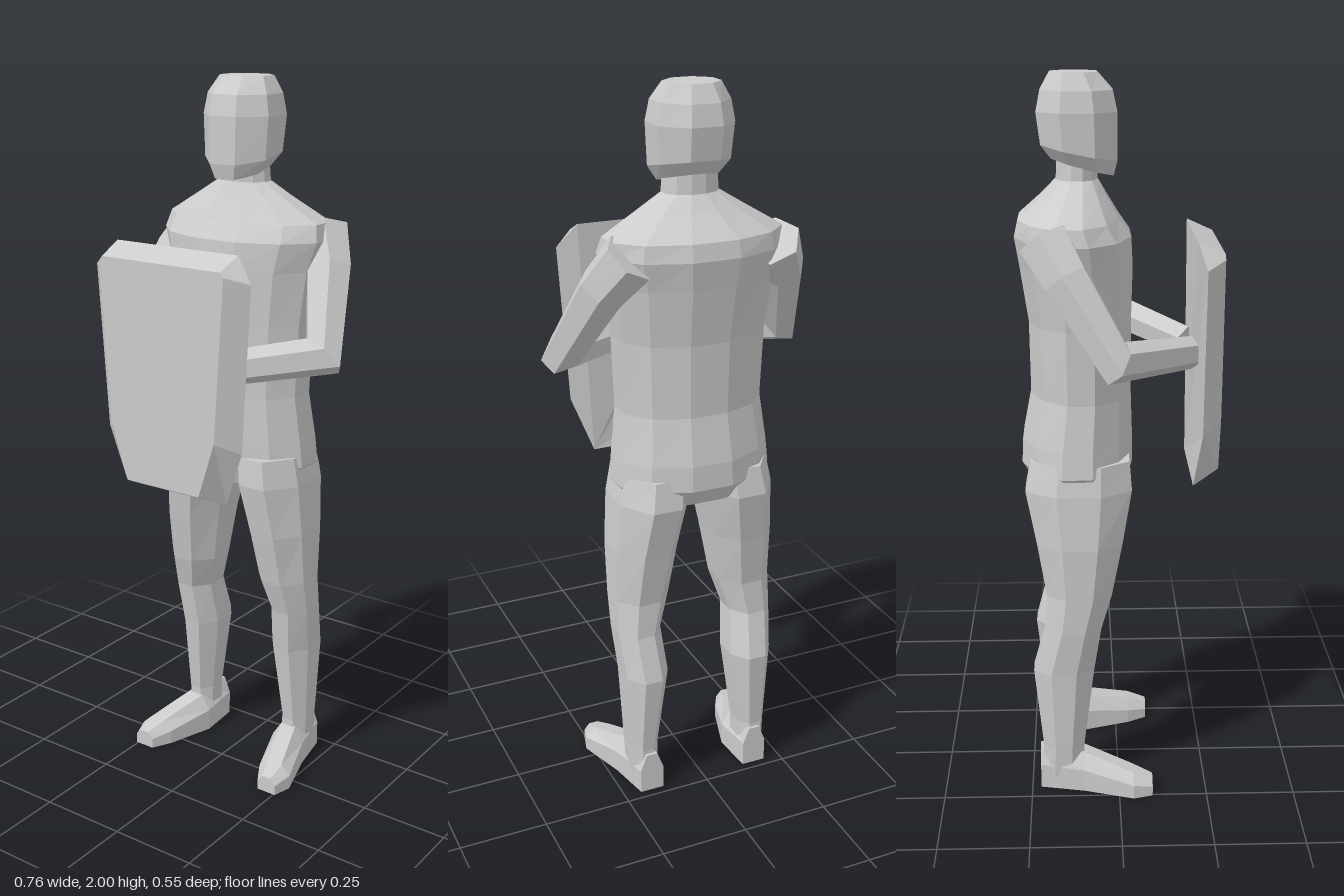
import * as THREE from 'three';

const material = new THREE.MeshStandardMaterial({ color: 0xcccccc, flatShading: true });
const V = (x, y, z) => new THREE.Vector3(x, y, z);

// Skin a list of equal-sized rings and close both ends
function loft(name, rings) {
  const pos = [];
  const tri = (...pts) => pts.forEach((p) => pos.push(p.x, p.y, p.z));
  const n = rings[0].length;
  for (let r = 0; r < rings.length - 1; r++) {
    const a = rings[r], b = rings[r + 1];
    for (let i = 0; i < n; i++) {
      const j = (i + 1) % n;
      tri(a[i], a[j], b[j]);
      tri(a[i], b[j], b[i]);
    }
  }
  const first = rings[0], last = rings[rings.length - 1];
  for (let i = 1; i < n - 1; i++) {
    tri(first[0], first[i + 1], first[i]);
    tri(last[0], last[i], last[i + 1]);
  }
  const geometry = new THREE.BufferGeometry();
  geometry.setAttribute('position', new THREE.Float32BufferAttribute(pos, 3));
  geometry.computeVertexNormals();
  const mesh = new THREE.Mesh(geometry, material);
  mesh.name = name;
  return mesh;
}

// Horizontal faceted ring filling the given x and z extents; tilt lowers its front
function ring(n, y, x0, x1, zFront, zBack, tilt = 0) {
  const grow = 1 / Math.cos(Math.PI / n);
  const cx = (x0 + x1) / 2, cz = (zFront + zBack) / 2;
  const rx = Math.abs(x1 - x0) / 2 * grow, rz = (zFront - zBack) / 2 * grow;
  return Array.from({ length: n }, (_, i) => {
    const a = (i + 0.5) * 2 * Math.PI / n;
    return V(cx + rx * Math.sin(a), y - tilt * Math.cos(a), cz + rz * Math.cos(a));
  });
}

// Six-sided bent arm: rings stay perpendicular to the path, mitred at the elbow
function arm(side) {
  const path = [V(0.2, 1.59, -0.19), V(0.255, 1.5, -0.135), V(0.32, 1.3, -0.01), V(0.06, 1.26, 0.2)];
  path.forEach((p) => { p.x *= side; });
  const radii = [0.075, 0.066, 0.052, 0.045];
  const dirs = path.slice(1).map((p, i) => p.clone().sub(path[i]).normalize());
  const hinge = dirs[1].clone().cross(dirs[2]).normalize();
  const rings = path.map((c, k) => {
    const before = dirs[Math.max(k - 1, 0)], after = dirs[Math.min(k, 2)];
    const n = before.clone().add(after).normalize();
    const u = hinge.clone().addScaledVector(n, -hinge.dot(n)).normalize();
    const v = n.clone().cross(u);
    const mitre = Math.min(1 / n.dot(after), 1.35);
    return Array.from({ length: 6 }, (_, i) => {
      const a = i * Math.PI / 3;
      return c.clone().addScaledVector(u, radii[k] * Math.cos(a))
        .addScaledVector(v, radii[k] * mitre * Math.sin(a));
    });
  });
  return loft(side > 0 ? 'leftArm' : 'rightArm', rings);
}

// Leg: y, inner x, outer x, front z, back z
function leg(side) {
  const rows = [
    [0.04, 0.13, 0.21, -0.1, -0.22],
    [0.13, 0.13, 0.215, -0.1, -0.215],
    [0.37, 0.1, 0.225, -0.07, -0.24],
    [0.5, 0.11, 0.235, -0.05, -0.205],
    [0.6, 0.08, 0.235, -0.02, -0.2],
    [0.75, 0.055, 0.235, 0.01, -0.225],
    [0.9, 0.025, 0.225, 0.036, -0.255],
    [0.98, 0.02, 0.21, 0.03, -0.24],
  ];
  return loft(side > 0 ? 'leftLeg' : 'rightLeg',
    rows.map(([y, a, b, f, k]) => ring(8, y, side * a, side * b, f, k)));
}

// Foot turned outward: z, inner x, outer x, height
function foot(side) {
  const rows = [
    [-0.225, 0.13, 0.2, 0.12],
    [-0.1, 0.12, 0.225, 0.11],
    [0.04, 0.165, 0.27, 0.068],
    [0.095, 0.195, 0.255, 0.048],
  ];
  return loft(side > 0 ? 'leftFoot' : 'rightFoot', rows.map(([z, a, b, h]) => {
    const x0 = Math.min(side * a, side * b), x1 = Math.max(side * a, side * b);
    const bevel = (x1 - x0) * 0.27;
    return [V(x0, 0, z), V(x1, 0, z), V(x1, h * 0.6, z),
      V(x1 - bevel, h, z), V(x0 + bevel, h, z), V(x0, h * 0.6, z)];
  }));
}

// Shield: bevelled plate with cut corners; half outline mirrored, listed bottom to top
function shield() {
  const outline = (half) => [
    ...half.map(([x, y, z]) => V(x, y, z)),
    ...half.slice().reverse().map(([x, y, z]) => V(-x, y, z)),
  ];
  const back = outline([[0.16, 0.91, 0.203], [0.222, 1.07, 0.222], [0.25, 1.52, 0.225], [0.195, 1.585, 0.203]]);
  const front = outline([[0.12, 0.945, 0.275], [0.17, 1.1, 0.275], [0.2, 1.54, 0.275], [0.19, 1.553, 0.275]]);
  return loft('shield', [back, front]);
}

export function createModel() {
  const model = new THREE.Group();
  model.name = 'shieldBearer';

  // Torso and neck: y, half width, front z, back z
  const torso = [
    [0.9, 0.19, 0.025, -0.235],
    [0.95, 0.222, 0.04, -0.265],
    [1.02, 0.215, 0.04, -0.262],
    [1.15, 0.2, 0.036, -0.237],
    [1.35, 0.208, 0.036, -0.24],
    [1.5, 0.225, 0.04, -0.262],
    [1.58, 0.25, 0.036, -0.275],
    [1.625, 0.24, 0.005, -0.265],
    [1.685, 0.14, -0.03, -0.2],
    [1.725, 0.075, -0.052, -0.163],
    [1.8, 0.07, -0.05, -0.16],
  ];
  model.add(loft('torso', torso.map(([y, w, f, b]) => ring(12, y, -w, w, f, b))));

  // Head: y, half width, front z, back z, tilt
  const head = [
    [1.757, 0.072, -0.01, -0.175, 0.024],
    [1.795, 0.098, 0, -0.202, 0.022],
    [1.9, 0.105, 0, -0.213, 0],
    [1.955, 0.095, -0.012, -0.202, 0],
    [2, 0.07, -0.052, -0.177, 0],
  ];
  model.add(loft('head', head.map(([y, w, f, b, t]) => ring(8, y, -w, w, f, b, t))));

  for (const side of [1, -1]) model.add(arm(side), leg(side), foot(side));
  model.add(shield());
  return model;
}
